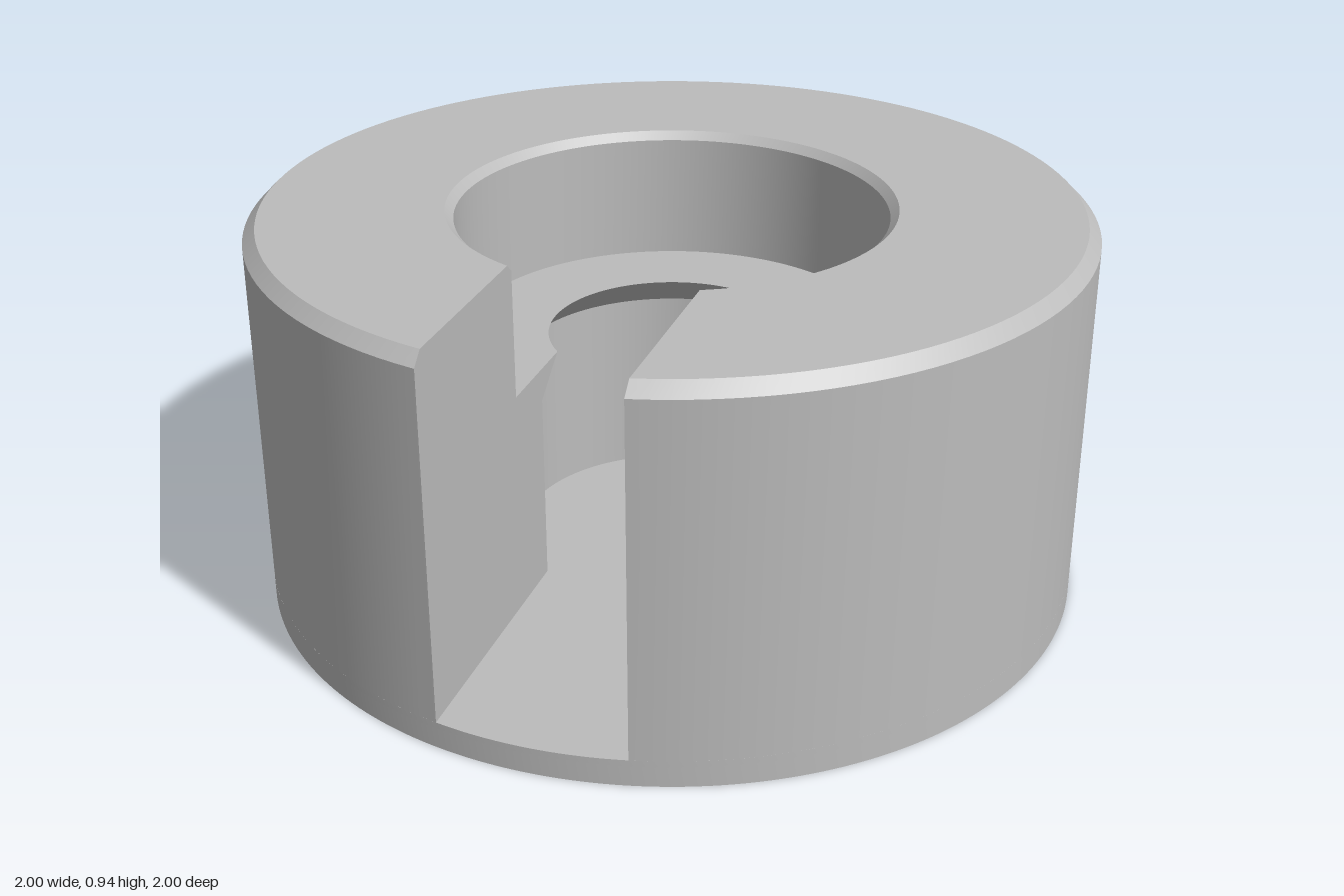
import * as THREE from 'three';
import { toCreasedNormals } from 'three/addons/utils/BufferGeometryUtils.js';

const FLOOR = 0.065, SLOT = 0.22, POCKET = 0.05, SEGMENTS = 128;

// Section of the ring as (radius, height), from the outer foot over the top to the inner foot
const PROFILE = [
  [1, FLOOR], [1, 0.91], [0.97, 0.94],        // outer wall and chamfer
  [0.535, 0.94], [0.515, 0.92], [0.515, 0.61], // upper bore and its chamfer
  [0.30, 0.61], [0.38, 0.53], [0.38, FLOOR],   // ledge, undercut cone, lower bore
];

// Sweeps the profile around y, stopping at the flat slot walls x = +-SLOT
function slottedRing() {
  const positions = [];
  const point = ([r, y], k) => {
    const start = Math.asin(SLOT / r);
    const t = start + (2 * Math.PI - 2 * start) * k / SEGMENTS;
    return [r * Math.sin(t), y, r * Math.cos(t)];
  };
  for (let i = 0; i < PROFILE.length - 1; i++) {
    for (let k = 0; k < SEGMENTS; k++) {
      const a = point(PROFILE[i], k), b = point(PROFILE[i], k + 1);
      const c = point(PROFILE[i + 1], k + 1), d = point(PROFILE[i + 1], k);
      positions.push(...a, ...b, ...c, ...a, ...c, ...d);
    }
  }
  // Slot walls
  const wall = PROFILE.map(([r, y]) => new THREE.Vector2(Math.sqrt(r * r - SLOT * SLOT), y));
  for (const [a, b, c] of THREE.ShapeUtils.triangulateShape(wall, [])) {
    for (const i of [a, b, c]) positions.push(SLOT, wall[i].y, wall[i].x);
    for (const i of [a, c, b]) positions.push(-SLOT, wall[i].y, wall[i].x);
  }
  const geometry = new THREE.BufferGeometry();
  geometry.setAttribute('position', new THREE.Float32BufferAttribute(positions, 3));
  return toCreasedNormals(geometry, 0.5);
}

// Flat disc lying on y = bottom, with optional round holes
function disc(bottom, height, holes = []) {
  const shape = new THREE.Shape().absarc(0, 0, 1, 0, Math.PI * 2);
  for (const [x, z] of holes) {
    shape.holes.push(new THREE.Path().absarc(x, z, 0.13, 0, Math.PI * 2, true));
  }
  const geometry = new THREE.ExtrudeGeometry(shape, {
    depth: height, bevelEnabled: false, curveSegments: SEGMENTS,
  });
  geometry.rotateX(-Math.PI / 2).translate(0, bottom, 0);
  return toCreasedNormals(geometry, 0.5);
}

export function createModel() {
  const group = new THREE.Group();
  group.name = 'slottedHolder';
  const grey = new THREE.MeshStandardMaterial({ color: 0xbcbcbc });
  grey.name = 'grey';
  const add = (name, geometry) => {
    const mesh = new THREE.Mesh(geometry, grey);
    mesh.name = name;
    group.add(mesh);
  };

  // Underside pockets on the diagonals
  const d = 0.79 * Math.SQRT1_2;
  add('pocketedBase', disc(0, POCKET, [[d, d], [-d, d], [-d, -d], [d, -d]]));
  add('slotFloor', disc(POCKET, FLOOR - POCKET));
  add('slottedRing', slottedRing());
  return group;
}
